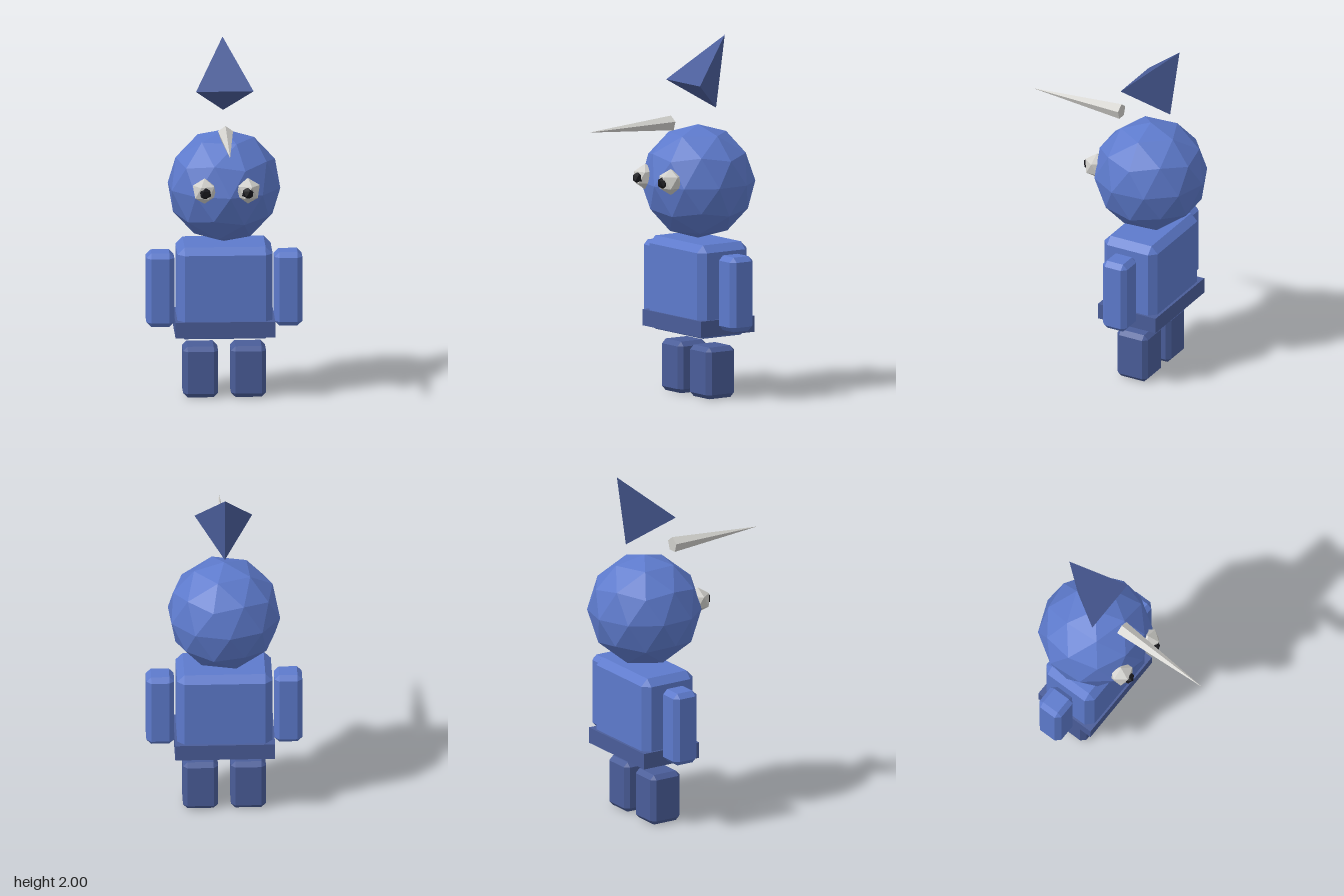
import * as THREE from 'three';
import { ConvexGeometry } from 'three/addons/geometries/ConvexGeometry.js';

const mat = (name, color) => {
  const m = new THREE.MeshStandardMaterial({ color, flatShading: true });
  m.name = name;
  return m;
};

// Box with a single flat bevel on every edge
function bevelBox(w, h, d, b) {
  const pts = [];
  const half = [w / 2, h / 2, d / 2];
  for (const sx of [-1, 1]) for (const sy of [-1, 1]) for (const sz of [-1, 1])
    for (let full = 0; full < 3; full++) {
      const c = half.map((v, i) => (i === full ? v : v - b));
      pts.push(new THREE.Vector3(c[0] * sx, c[1] * sy, c[2] * sz));
    }
  return new ConvexGeometry(pts);
}

// Faceted ball with a corner at the top
function ball(r, detail) {
  const tilt = Math.atan2(1, (1 + Math.sqrt(5)) / 2);
  return new THREE.IcosahedronGeometry(r, detail).rotateZ(-tilt);
}

export function createModel() {
  const model = new THREE.Group();
  model.name = 'figure';
  const blue = mat('blue', 0x5d7acc);
  const darkBlue = mat('darkBlue', 0x4a5d99);
  const white = mat('offWhite', 0xd0cfcb);
  const black = mat('black', 0x17171c);
  const Z = -0.225;

  const add = (name, geometry, material, x, y, z) => {
    const mesh = new THREE.Mesh(geometry, material);
    mesh.name = name;
    mesh.position.set(x, y, z);
    model.add(mesh);
    return mesh;
  };

  // Body and belt
  add('torso', bevelBox(0.53, 0.525, 0.34, 0.04), blue, 0, 0.61, Z);
  add('belt', new THREE.BoxGeometry(0.555, 0.09, 0.367), darkBlue, 0, 0.41, -0.227);

  // Head
  add('head', ball(0.319, 1), blue, 0, 1.195, Z).rotation.y = 0.07;

  // Paired limbs and eyes
  for (const [side, s] of [['left', 1], ['right', -1]]) {
    add(side + 'Arm', bevelBox(0.155, 0.42, 0.155, 0.027), blue, s * 0.356, 0.61, Z);
    add(side + 'Leg', bevelBox(0.195, 0.29, 0.195, 0.025), darkBlue, s * 0.133, 0.145, Z);
    const turn = s > 0 ? 0 : Math.PI;
    add(side + 'Eye', ball(0.073, 0), white, s * 0.121, 1.23, 0.05).rotation.y = turn;
    add(side + 'Pupil', ball(0.036, 0), black, s * 0.118, 1.228, 0.098).rotation.y = turn;
  }

  // Long five-sided horn pointing forward
  add('horn', new THREE.ConeGeometry(0.044, 0.565, 5).rotateY(Math.PI).rotateX(Math.PI / 2),
    white, 0, 1.536, 0.243);

  // Floating three-sided hat, tilted back
  add('hat', new THREE.ConeGeometry(0.185, 0.365, 3).rotateY(Math.PI).rotateX(-0.616),
    darkBlue, 0, 1.851, -0.303);

  return model;
}
